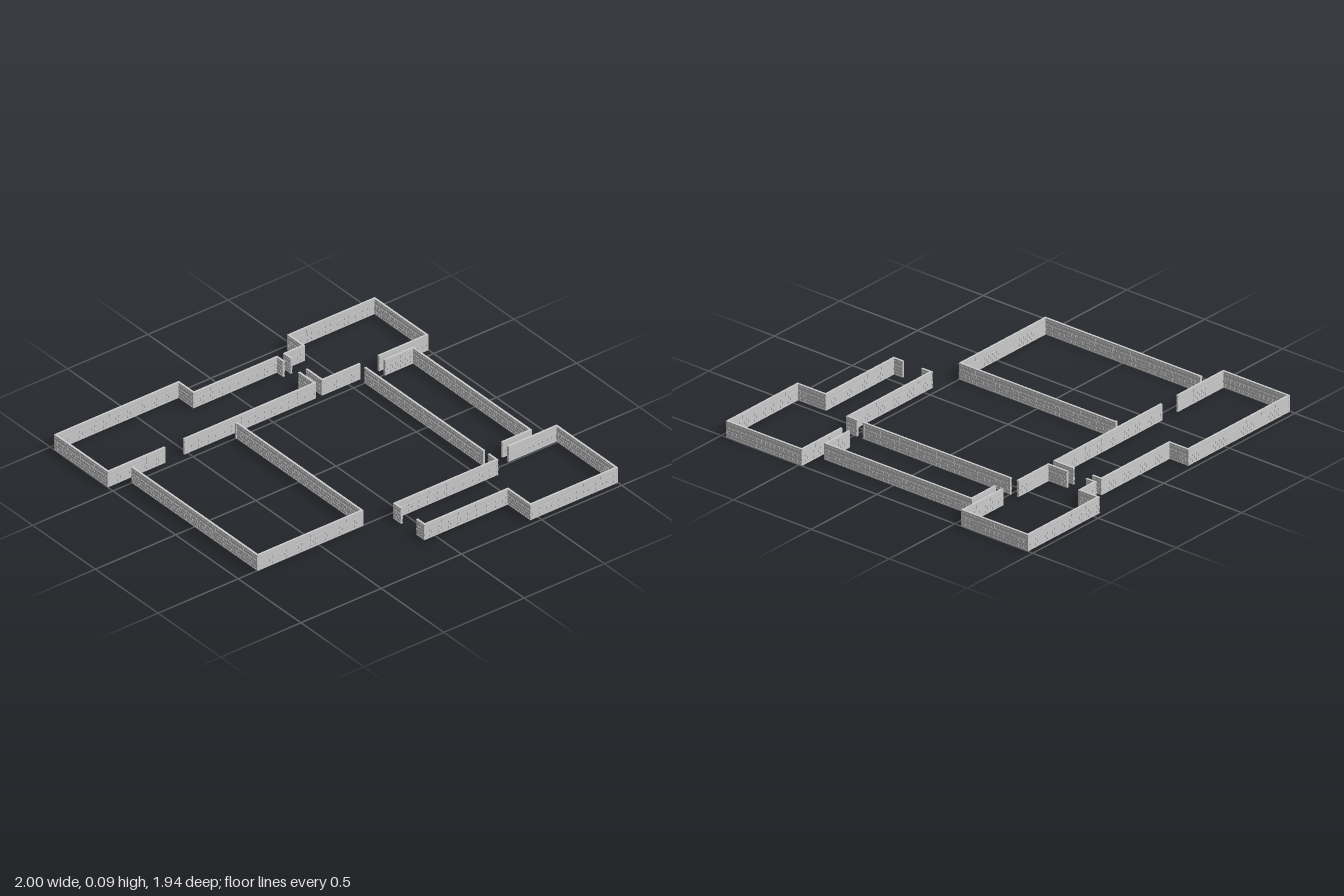
import * as THREE from 'three';
import { mergeGeometries } from 'three/addons/utils/BufferGeometryUtils.js';

const HEIGHT = 0.09, THICK = 0.012, CORE = 0.009;

// Wall centre lines as [x, z]; each run stops at a doorway
const ROOMS = {
  backRightRoom: [
    [[-0.64, -0.546], [-0.994, -0.546], [-0.994, -0.964], [-0.227, -0.964], [-0.227, -0.845], [0.293, -0.845], [0.293, -0.79]],
    [[0.293, -0.67], [0.293, -0.546], [-0.523, -0.546]],
  ],
  backLeftRoom: [
    [[0.34, -0.79], [0.34, -0.845], [0.458, -0.845], [0.458, -0.964], [0.994, -0.964], [0.994, -0.546], [0.69, -0.546]],
    [[0.576, -0.546], [0.34, -0.546], [0.34, -0.67]],
  ],
  rightRoom: [
    [[-0.867, -0.498], [-0.877, -0.498], [-0.877, 0.497], [-0.227, 0.497], [-0.227, -0.498], [-0.237, -0.498]],
  ],
  corridor: [
    [[0.582, -0.498], [0.575, -0.498], [0.575, 0.438], [0.582, 0.438]],
    [[0.69, -0.498], [0.87, -0.498], [0.87, 0.438], [0.69, 0.438]],
  ],
  frontLeftRoom: [
    [[0.69, 0.487], [0.994, 0.487], [0.994, 0.964], [0.458, 0.964], [0.458, 0.785], [-0.062, 0.785], [-0.062, 0.725]],
    [[-0.062, 0.604], [-0.062, 0.546], [0.575, 0.546], [0.575, 0.487], [0.582, 0.487]],
  ],
};

// Box spanning x0..x1 and y0..y1, centred on z
function slab(x0, x1, y0, y1, z, depth) {
  return new THREE.BoxGeometry(x1 - x0, y1 - y0, depth).translate((x0 + x1) / 2, (y0 + y1) / 2, z);
}

// Evenly divides a length into raised blocks with joints between them
function blocks(length, pitch, shift, y0, y1) {
  const out = [], n = Math.max(1, Math.round(length / pitch)), step = length / n, joint = 0.0025;
  for (let i = 0; i <= n; i++) {
    const a = Math.max(0, (i - shift) * step + joint);
    const b = Math.min(length, (i + 1 - shift) * step - joint);
    if (b - a < 0.003) continue;
    for (const side of [-1, 1]) {
      out.push(slab(a, b, y0, y1, side * (CORE / 2 + 0.0005), 0.002));
    }
  }
  return out;
}

// One straight wall along +x, from 0 to length
function wallParts(length) {
  const brick = [];
  [0.009, 0.025, 0.041].forEach((y, row) => {
    brick.push(...blocks(length, 0.0295, (row % 2) / 2, y, y + 0.013));
  });
  return {
    core: [slab(0, length, 0, HEIGHT, 0, CORE)],
    bricks: brick,
    upperPanels: blocks(length, 0.118, 0, 0.061, 0.079),
    trim: [
      slab(0, length, 0, 0.006, 0, THICK),
      slab(0, length, 0.056, 0.059, 0, THICK),
      slab(0, length, 0.082, HEIGHT, 0, THICK),
    ],
  };
}

export function createModel() {
  const model = new THREE.Group();
  model.name = 'floorPlanWalls';
  const material = new THREE.MeshStandardMaterial({ color: 0xcccccc, flatShading: true });

  for (const [name, runs] of Object.entries(ROOMS)) {
    const room = new THREE.Group();
    room.name = name;
    const gathered = { core: [], bricks: [], upperPanels: [], trim: [] };

    for (const run of runs) {
      for (let i = 0; i < run.length - 1; i++) {
        const [ax, az] = run[i], [bx, bz] = run[i + 1];
        // Lengthen past the corners so neighbouring walls meet squarely
        const before = i > 0 ? THICK / 2 : 0;
        const after = i < run.length - 2 ? THICK / 2 : 0;
        const length = Math.hypot(bx - ax, bz - az) + before + after;
        const place = new THREE.Matrix4()
          .makeRotationY(-Math.atan2(bz - az, bx - ax))
          .setPosition(ax, 0, az)
          .multiply(new THREE.Matrix4().makeTranslation(-before, 0, 0));
        for (const [part, list] of Object.entries(wallParts(length))) {
          gathered[part].push(...list.map((g) => g.applyMatrix4(place)));
        }
      }
    }

    for (const [part, list] of Object.entries(gathered)) {
      if (!list.length) continue;
      const mesh = new THREE.Mesh(mergeGeometries(list), material);
      mesh.name = part;
      room.add(mesh);
    }
    model.add(room);
  }
  return model;
}
